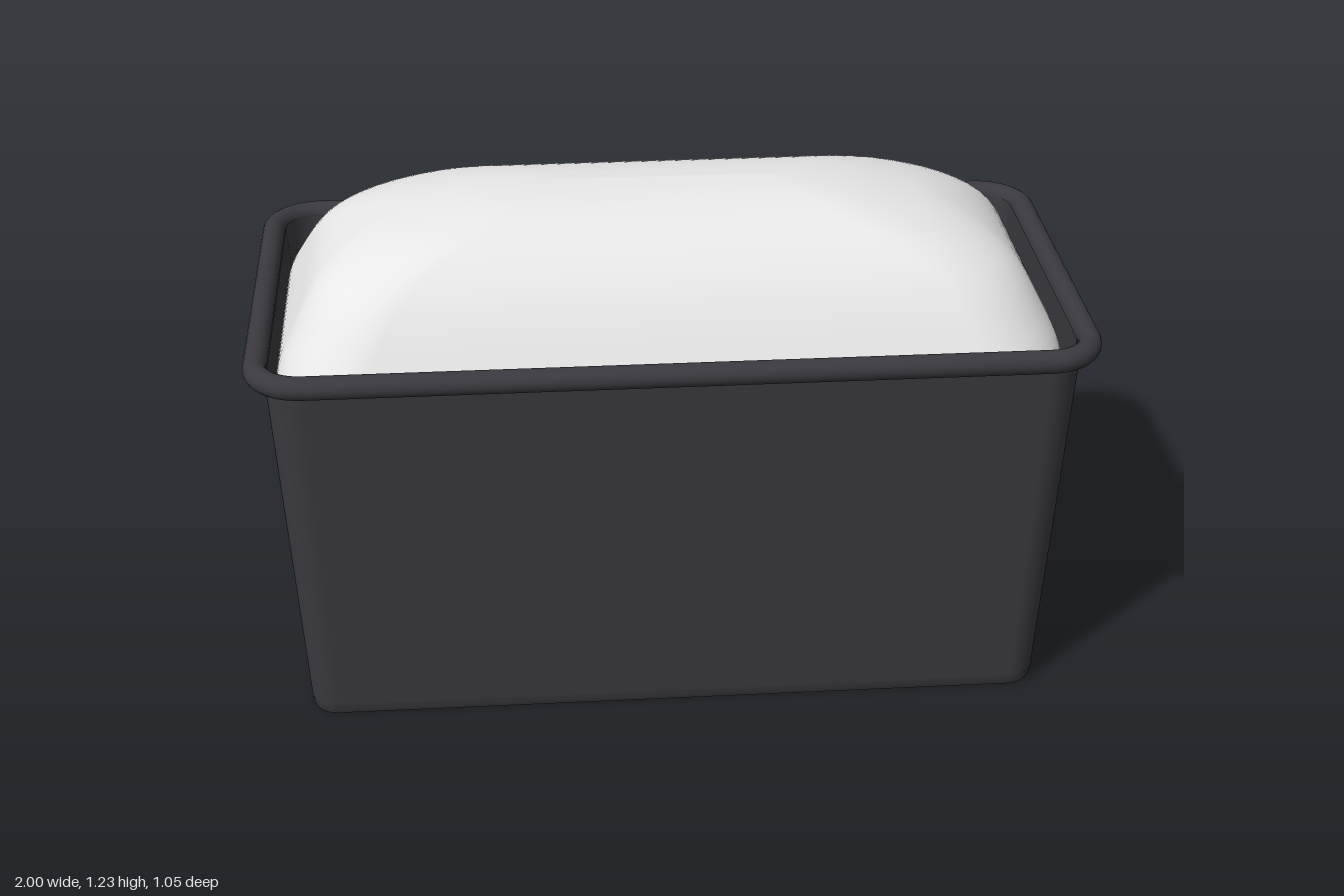
import * as THREE from 'three';

const CORNER_STEPS = 12;

// Rounded rectangle outline with half sizes hx, hz and corner radius r
function outline({ y, hx, hz, r }) {
  const pts = [];
  for (let c = 0; c < 4; c++) {
    const sx = c === 0 || c === 3 ? 1 : -1;
    const sz = c < 2 ? 1 : -1;
    for (let i = 0; i <= CORNER_STEPS; i++) {
      const a = (c + i / CORNER_STEPS) * Math.PI / 2;
      pts.push(sx * (hx - r) + r * Math.cos(a), y, sz * (hz - r) + r * Math.sin(a));
    }
  }
  return pts;
}

// Smooth skin through a stack of outlines
function loft(rings) {
  const n = 4 * (CORNER_STEPS + 1);
  const index = [];
  for (let j = 0; j < rings.length - 1; j++) {
    for (let i = 0; i < n; i++) {
      const a = j * n + i, b = j * n + (i + 1) % n;
      index.push(a, a + n, b, b, a + n, b + n);
    }
  }
  const geo = new THREE.BufferGeometry();
  geo.setAttribute('position', new THREE.Float32BufferAttribute(rings.flatMap(outline), 3));
  geo.setIndex(index);
  geo.computeVertexNormals();
  return geo;
}

const ring = (y, hx, hz, r) => ({ y, hx, hz, r });

export function createModel() {
  const metal = new THREE.MeshStandardMaterial({ color: 0x3a393f });
  metal.name = 'dark metal';
  const doughWhite = new THREE.MeshStandardMaterial({ color: 0xf0f0f0 });
  doughWhite.name = 'dough white';

  const model = new THREE.Group();
  model.name = 'loafPan';
  const add = (name, rings, material) => {
    const mesh = new THREE.Mesh(loft(rings), material);
    mesh.name = name;
    model.add(mesh);
  };

  // Pan: underside, foot band, tapered walls, inside
  add('panUnderside', [ring(0, 0, 0, 0), ring(0, 0.893, 0.42, 0.06)], metal);
  add('panFoot', [ring(0, 0.893, 0.42, 0.06), ring(0.012, 0.898, 0.425, 0.065), ring(0.03, 0.9, 0.428, 0.067)], metal);
  add('panWalls', [ring(0.03, 0.9, 0.43, 0.067), ring(0.95, 0.953, 0.481, 0.09)], metal);
  add('panInside', [ring(0.95, 0.942, 0.468, 0.085), ring(0.02, 0.888, 0.416, 0.06)], metal);
  add('panFloor', [ring(0.02, 0.888, 0.416, 0.06), ring(0.02, 0, 0, 0)], metal);

  // Rolled rim
  const rim = [];
  for (let i = 0; i <= 20; i++) {
    const a = Math.PI + i / 20 * Math.PI * 2;
    const d = 0.028 * Math.cos(a);
    rim.push(ring(0.945 + 0.028 * Math.sin(a), 0.972 + d, 0.497 + d, 0.112 + d));
  }
  add('panRim', rim, metal);

  // Risen dough: x = half length, y = height, z = half width
  const profile = new THREE.CatmullRomCurve3([
    [0.932, 0.78, 0.458], [0.933, 0.87, 0.46], [0.89, 0.972, 0.411], [0.82, 1.08, 0.337],
    [0.685, 1.163, 0.239], [0.52, 1.204, 0.15], [0.38, 1.221, 0.075], [0.25, 1.227, 0],
  ].map(p => new THREE.Vector3(...p)));
  const dough = [ring(0.025, 0.884, 0.41, 0.18)];
  for (const p of profile.getPoints(42)) {
    dough.push(ring(p.y, p.x, p.z, Math.max(0, Math.min(p.z, 0.2))));
  }
  add('dough', dough, doughWhite);

  return model;
}
